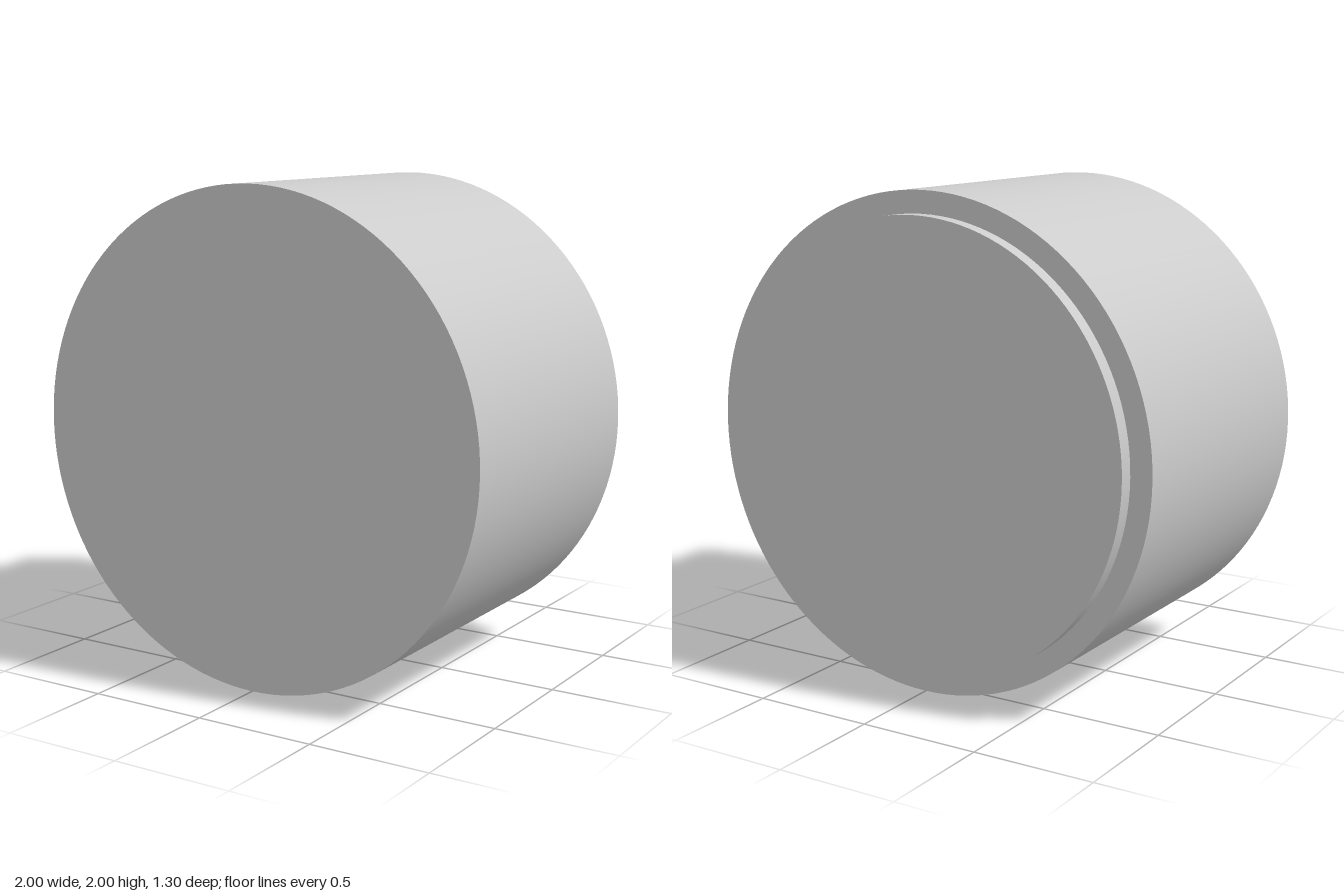
import * as THREE from 'three';

// Closed cylinder lying along z, between two depths
function disc(name, radius, zBack, zFront, material) {
  const geometry = new THREE.CylinderGeometry(radius, radius, zFront - zBack, 128);
  geometry.rotateX(Math.PI / 2);
  const mesh = new THREE.Mesh(geometry, material);
  mesh.name = name;
  mesh.position.set(0, 1, (zFront + zBack) / 2);
  return mesh;
}

export function createModel() {
  const group = new THREE.Group();
  group.name = 'steppedCylinder';
  const material = new THREE.MeshStandardMaterial({ color: 0xcccccc });

  // Main drum, with a narrower raised step on its back face
  group.add(disc('drum', 1, -0.588, 0.652, material));
  group.add(disc('backStep', 0.91, -0.652, -0.588, material));
  return group;
}
